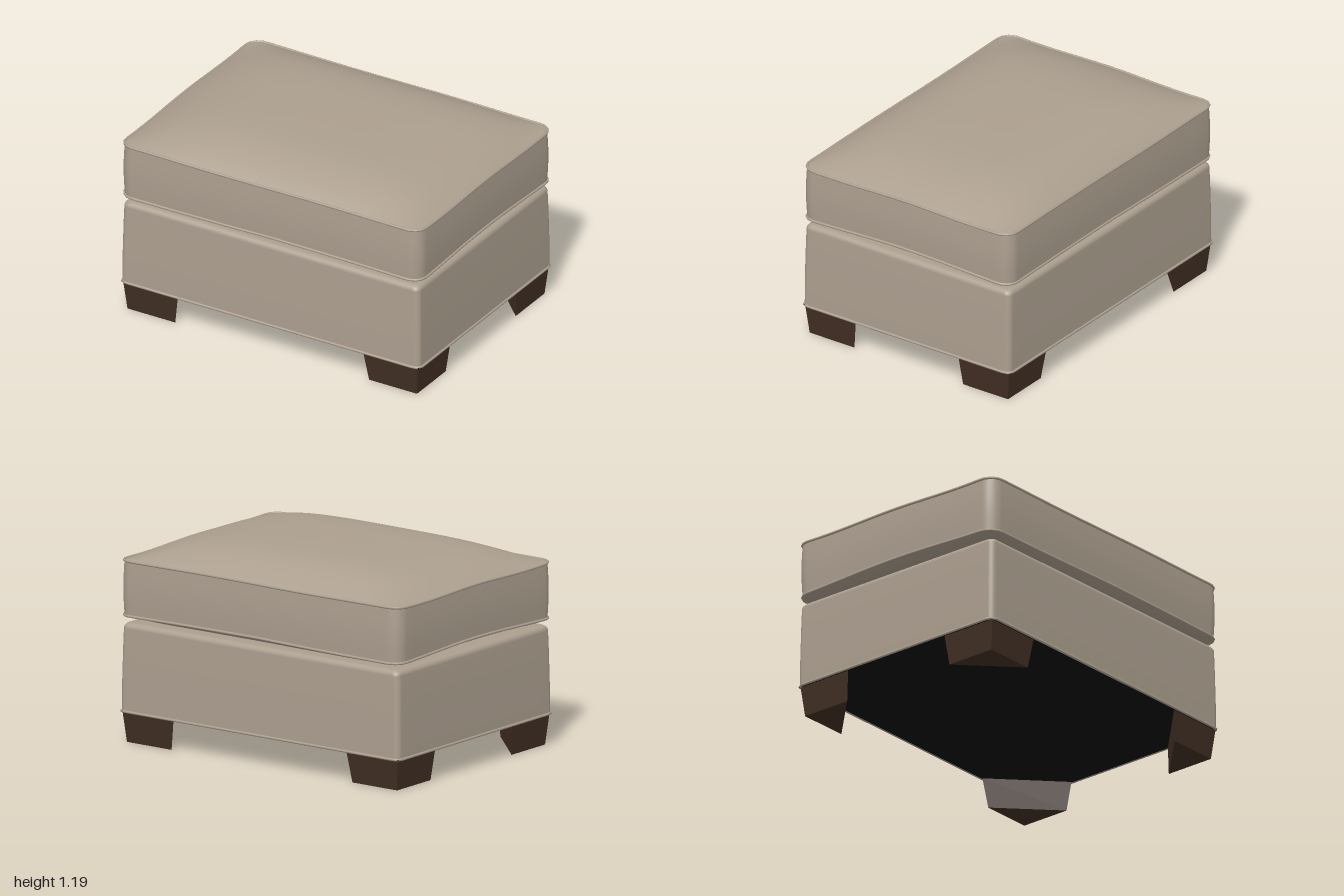
import * as THREE from 'three';
import { ConvexGeometry } from 'three/addons/geometries/ConvexGeometry.js';

const material = (name, color) => {
  const m = new THREE.MeshStandardMaterial({ color });
  m.name = name;
  return m;
};

// Rounded rectangle outline at height y, subdivided along its sides
function ring(hx, hz, r, y, scale = 1) {
  const pts = [];
  const corners = [[1, 1, 0], [-1, 1, 1], [-1, -1, 2], [1, -1, 3]];
  const outline = [];
  for (const [sx, sz, q] of corners) {
    for (let i = 0; i <= 6; i++) {
      const a = (q + i / 6) * Math.PI / 2;
      outline.push([sx * (hx - r) + r * Math.cos(a), sz * (hz - r) + r * Math.sin(a)]);
    }
  }
  outline.forEach(([x, z], i) => {
    const [nx, nz] = outline[(i + 1) % outline.length];
    const steps = i % 7 === 6 ? 16 : 1;
    for (let k = 0; k < steps; k++) {
      const t = k / steps;
      pts.push(new THREE.Vector3((x + (nx - x) * t) * scale, y, (z + (nz - z) * t) * scale));
    }
  });
  return pts;
}

// Smooth skin through a stack of rings, ordered upward on the outside
function loft(rings) {
  const n = rings[0].length;
  const index = [];
  for (let i = 0; i < rings.length - 1; i++) {
    for (let j = 0; j < n; j++) {
      const a = i * n + j, b = i * n + (j + 1) % n;
      index.push(a, a + n, b, b, a + n, b + n);
    }
  }
  const g = new THREE.BufferGeometry().setFromPoints(rings.flat());
  g.setIndex(index);
  g.computeVertexNormals();
  return g;
}

// Slightly uneven seam heights
const HX = 0.985, HZ = 0.72, R = 0.08;
const topSeam = (x, z) => 1.056 + 0.005 * Math.cos(6.5 * z) * Math.abs(x) + 0.002 * Math.sin(5 * x);
const lowSeam = (x, z) => 0.746 + 0.011 * Math.cos(4 * z) * Math.abs(x) + 0.003 * Math.sin(3 * x);

// Pillow surface: swells away from the seam by the given height
function pillow(seam, height, power, scales) {
  return loft(scales.map((s) => {
    const pts = ring(HX, HZ, R, 0, s);
    for (const p of pts) {
      const u = Math.min(1, Math.abs(p.x) / HX), v = Math.min(1, Math.abs(p.z) / HZ);
      const f = (1 - u ** power) * (1 - v ** power);
      const rest = height > 0 ? 1.056 : 0.746;
      p.y = rest + (seam(p.x, p.z) - rest) * (1 - f) + height * f;
    }
    return pts;
  }));
}

// Closed cord following a ring
function cord(points, radius) {
  const path = new THREE.CatmullRomCurve3(points, true, 'centripetal');
  return new THREE.TubeGeometry(path, 180, radius, 8, true);
}

export function createModel() {
  const model = new THREE.Group();
  model.name = 'ottoman';
  const fabric = material('taupe fabric', 0xac9f8f);
  const wood = material('dark wood', 0x422f24);
  const lining = material('black lining', 0x111111);

  const add = (name, geometry, mat, parent = model) => {
    const mesh = new THREE.Mesh(geometry, mat);
    mesh.name = name;
    parent.add(mesh);
    return mesh;
  };

  // Upholstered base with softened top edge
  const baseRings = [[0.18, 0.983, 0.716], [0.35, 0.982, 0.716], [0.55, 0.978, 0.712]]
    .map(([y, hx, hz]) => ring(hx, hz, 0.035, y));
  for (let i = 0; i <= 6; i++) {
    const a = i / 6 * Math.PI / 2, inset = 0.033 * (1 - Math.cos(a));
    baseRings.push(ring(0.974 - inset, 0.71 - inset, 0.035, 0.66 + 0.033 * Math.sin(a)));
  }
  for (const s of [0.97, 0.5, 0]) baseRings.push(ring(0.941, 0.677, 0.035, 0.693, s));
  add('base', loft(baseRings), fabric);
  add('baseWelt', cord(ring(0.984, 0.717, 0.035, 0.182), 0.008), fabric);

  // Dust cover under the base
  const cover = add('dustCover', new THREE.BoxGeometry(1.955, 0.006, 1.42), lining);
  cover.position.y = 0.18;

  // Cushion: underside, bulging band, crowned top and piping
  const cushion = new THREE.Group();
  cushion.name = 'cushion';
  model.add(cushion);
  const scales = [1, 0.98, 0.95, 0.92, 0.88, 0.83, 0.77, 0.7, 0.62, 0.53, 0.43, 0.32, 0.2, 0.1, 0];
  add('cushionTop', pillow(topSeam, 0.132, 4.2, scales), fabric, cushion);
  add('cushionUnderside', pillow(lowSeam, -0.053, 12, [...scales].reverse()), fabric, cushion);

  const band = [];
  for (let i = 0; i <= 10; i++) {
    const t = i / 10, bulge = 0.005 * Math.sin(Math.PI * t);
    const pts = ring(HX + bulge, HZ + bulge, R, 0);
    for (const p of pts) p.y = THREE.MathUtils.lerp(lowSeam(p.x, p.z), topSeam(p.x, p.z), t);
    band.push(pts);
  }
  add('cushionBand', loft(band), fabric, cushion);

  for (const [name, seam] of [['topPiping', topSeam], ['lowerPiping', lowSeam]]) {
    const pts = ring(HX + 0.002, HZ, R, 0);
    for (const p of pts) p.y = seam(p.x, p.z);
    add(name, cord(pts, 0.008), fabric, cushion);
  }

  // Tapered triangular corner legs
  const legCorners = [
    [0.97, 0.178, 0.705], [0.61, 0.178, 0.705], [0.97, 0.178, 0.355],
    [0.953, 0, 0.686], [0.638, 0, 0.686], [0.953, 0, 0.376],
  ];
  for (const sx of [1, -1]) {
    for (const sz of [1, -1]) {
      const pts = legCorners.map(([x, y, z]) => new THREE.Vector3(x * sx, y, z * sz));
      add((sz > 0 ? 'front' : 'back') + (sx > 0 ? 'Left' : 'Right') + 'Leg', new ConvexGeometry(pts), wood);
    }
  }
  return model;
}
